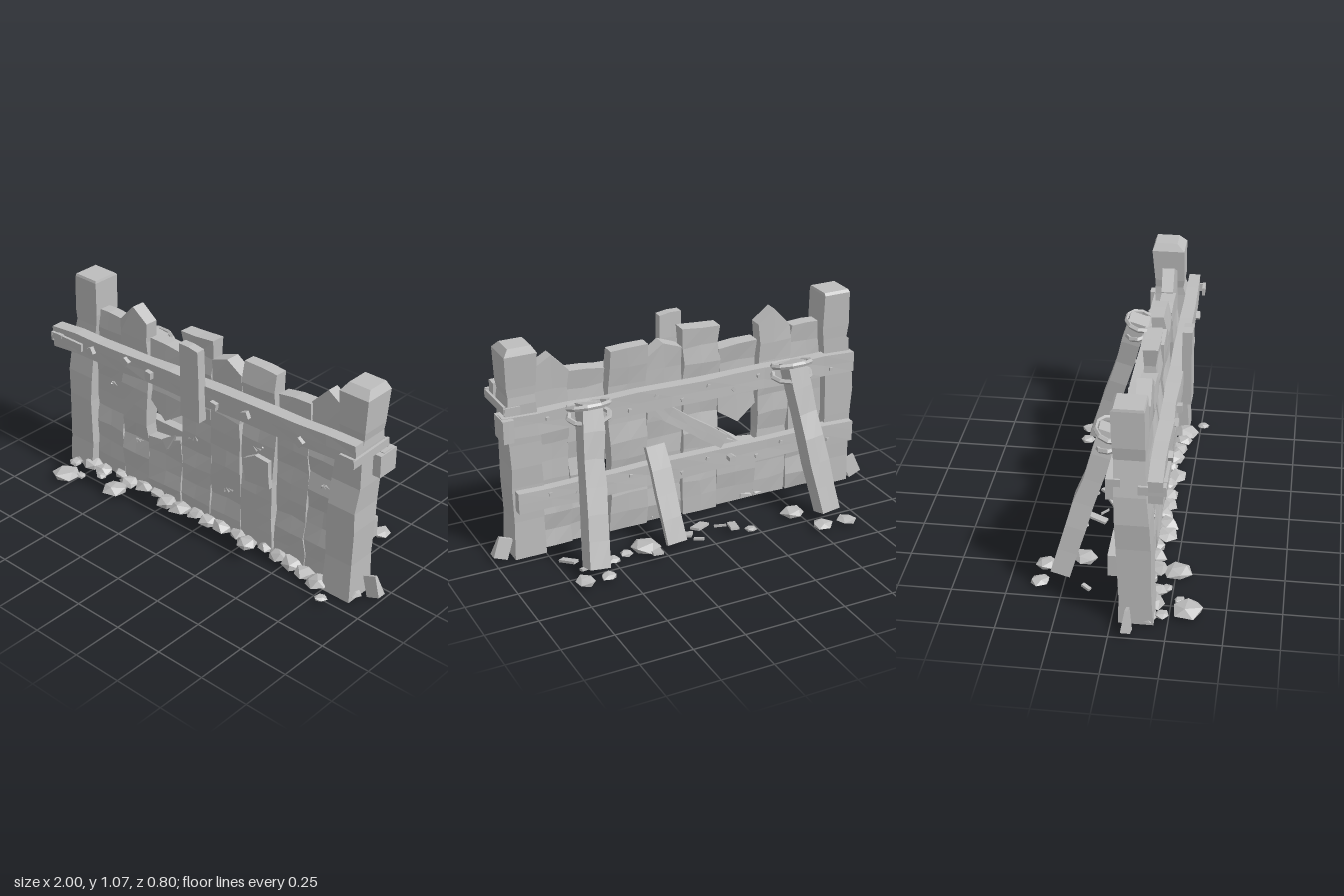
import * as THREE from 'three';

const stone = new THREE.MeshStandardMaterial({ color: 0xbdbdbd });
stone.name = 'weatheredGrey';
stone.flatShading = true;

// repeatable value in -1..1 from a position and a seed
function noise(x, y, z, seed) {
  const r = (v) => Math.round(v * 1000);
  const s = Math.sin(r(x) * 12.9898 + r(y) * 78.233 + r(z) * 37.719 + seed * 4.137) * 43758.5453;
  return (s - Math.floor(s)) * 2 - 1;
}

// moves every vertex by a rule, then gives each face its own normal
function reshape(geo, rule) {
  const p = geo.attributes.position;
  const v = new THREE.Vector3();
  for (let i = 0; i < p.count; i++) {
    v.fromBufferAttribute(p, i);
    rule(v);
    p.setXYZ(i, v.x, v.y, v.z);
  }
  const flat = geo.index ? geo.toNonIndexed() : geo;
  flat.computeVertexNormals();
  return flat;
}

// rough upright timber; top and bottom are height offsets at left, middle, right
function timber(w, h, d, rows, rough, seed, top = [0, 0, 0], bottom = [0, 0, 0]) {
  return reshape(new THREE.BoxGeometry(w, h, d, 2, rows, 1), (v) => {
    const { x, y, z } = v;
    const col = Math.round((x / w + 0.5) * 2);
    const t = y / h + 0.5;
    v.x += noise(Math.sign(col - 1), y, 0, seed) * rough * 0.7;
    v.z += noise(0, y, z, seed + 1) * rough * 0.75 + noise(x, y, z, seed + 1) * rough * 0.25;
    if (t > 0.99) v.y += top[col];
    else if (t < 0.01) v.y += bottom[col];
    else v.y += noise(x, y, 0, seed + 2) * rough * 0.5;
  });
}

// the wall leans back a little: middle depth at height y
const wallZ = (y) => 0.109 - 0.025 * y;

export function createModel() {
  const model = new THREE.Group();
  model.name = 'woodenBarricade';
  const V = (x, y, z) => new THREE.Vector3(x, y, z);

  function add(name, geo, x = 0, y = 0, z = 0, rx = 0, ry = 0, rz = 0) {
    const m = new THREE.Mesh(geo, stone);
    m.name = name;
    m.position.set(x, y, z);
    m.rotation.set(rx, ry, rz);
    model.add(m);
    return m;
  }
  const box = (w, h, d) => new THREE.BoxGeometry(w, h, d);

  // timber running from a to b, with its width kept close to the given side axis
  function strut(name, a, b, w, d, rows, rough, seed, side = V(1, 0, 0)) {
    const up = b.clone().sub(a);
    const m = add(name, timber(w, up.length(), d, rows, rough, seed));
    up.normalize();
    const front = side.clone().cross(up).normalize();
    const across = up.clone().cross(front);
    m.quaternion.setFromRotationMatrix(new THREE.Matrix4().makeBasis(across, up, front));
    m.position.copy(a).add(b).multiplyScalar(0.5);
  }

  // end posts: rows of [y, centre x, centre z, half width, half depth]
  const rightRows = [[0.01, -0.83, 0.112, 0.075, 0.078], [0.15, -0.825, 0.108, 0.078, 0.072], [0.4, -0.825, 0.1, 0.073, 0.076],
    [0.53, -0.825, 0.094, 0.08, 0.075], [0.66, -0.815, 0.085, 0.076, 0.07], [0.82, -0.785, 0.078, 0.066, 0.068],
    [0.88, -0.785, 0.076, 0.073, 0.07], [1.05, -0.782, 0.07, 0.069, 0.072], [1.062, -0.782, 0.074, 0.066, 0.064]];
  const leftRows = [[0.005, 0.825, 0.112, 0.078, 0.08], [0.2, 0.825, 0.106, 0.073, 0.073], [0.38, 0.827, 0.103, 0.078, 0.077],
    [0.48, 0.83, 0.1, 0.073, 0.082], [0.6, 0.832, 0.087, 0.078, 0.072], [0.8, 0.845, 0.08, 0.066, 0.078],
    [0.84, 0.845, 0.075, 0.064, 0.07], [0.88, 0.845, 0.077, 0.07, 0.074], [1.04, 0.845, 0.068, 0.077, 0.08], [1.075, 0.845, 0.056, 0.055, 0.055]];
  for (const [name, rows] of [['leftEndPost', leftRows], ['rightEndPost', rightRows]]) {
    add(name, reshape(new THREE.BoxGeometry(2, rows.length - 1, 2, 1, rows.length - 1, 1), (v) => {
      const [y, cx, cz, hw, hd] = rows[Math.round(v.y + (rows.length - 1) / 2)];
      v.set(cx + v.x * hw, y, cz + v.z * hd);
    }));
  }

  // wall planks: left x, right x, bottom, top, top offsets, bottom offsets
  const planks = [
    [-0.75, -0.565, 0.01, 0.905, [0, 0.005, 0]],
    [-0.562, -0.39, 0.01, 0.93, [-0.015, 0.075, 0.01]],
    [-0.37, -0.172, 0.51, 0.872, [0, 0, -0.01], [0.03, -0.05, 0.02]],
    [-0.385, -0.172, 0.01, 0.35, [-0.02, -0.005, 0.04]],
    [-0.17, 0.018, 0.01, 0.985, [-0.005, 0, 0.01]],
    [0.022, 0.205, 0.01, 0.905, [0, 0.035, -0.02]],
    [0.208, 0.398, 0.01, 0.957, [0, 0, -0.005]],
    [0.425, 0.6, 0.01, 0.885, [-0.01, 0.005, 0.01]],
    [0.602, 0.768, 0.01, 0.91, [-0.01, 0.08, 0.03]],
  ];
  planks.forEach(([x0, x1, y0, y1, top, bottom], i) => {
    const h = y1 - y0;
    const y = (y0 + y1) / 2;
    const rows = Math.max(3, Math.round(h * 11));
    add('wallPlank', timber(x1 - x0, h, 0.064, rows, 0.011, i * 7 + 3, top, bottom),
      (x0 + x1) / 2, y, wallZ(y) + (i % 2) * 0.006, -0.025);
  });
  // splinter in the gap and a nailed patch
  add('splinter', new THREE.ConeGeometry(0.04, 0.11, 4), -0.24, 0.37, 0.125, 0.5, 0.3, -0.7);
  add('patchBoard', timber(0.15, 0.14, 0.025, 2, 0.004, 91, [-0.02, 0.015, 0]), 0.315, 0.435, 0.142, 0, 0, 0.1);

  // horizontal rails
  const alongY = V(0, 1, 0);
  strut('frontRail', V(-0.94, 0.728, 0.195), V(0.92, 0.803, 0.19), 0.108, 0.062, 12, 0.006, 11, alongY);
  strut('upperBackRail', V(-0.88, 0.69, 0.012), V(0.945, 0.7, 0.014), 0.105, 0.06, 11, 0.006, 12, alongY);
  strut('lowerBackRail', V(-0.895, 0.31, 0.015), V(0.89, 0.315, 0.01), 0.105, 0.05, 11, 0.006, 13, alongY);
  add('railEndBlock', timber(0.05, 0.11, 0.11, 1, 0.003, 14), 0.925, 0.695, 0.02);

  // upright cover board on the front
  add('coverBoard', timber(0.115, 0.375, 0.045, 3, 0.003, 15, [0, 0, -0.01]), 0.007, 0.83, 0.241, 0, 0, 0.02);

  // straps wrapping the rail ends
  add('strapSide', box(0.012, 0.04, 0.25), 0.928, 0.782, 0.122, 0.03);
  add('strapFront', box(0.075, 0.04, 0.014), 0.893, 0.785, 0.241);
  add('strapBack', box(0.075, 0.04, 0.012), 0.893, 0.778, 0);
  add('strapFront', box(0.21, 0.04, 0.014), -0.835, 0.735, 0.236);
  add('strapSide', box(0.012, 0.04, 0.12), -0.934, 0.73, 0.185);

  // square bolts
  const bolts = [[-0.885, 0.74], [-0.67, 0.74], [-0.43, 0.768], [-0.28, 0.755], [0.32, 0.776], [0.63, 0.765], [0.13, 0.75]];
  bolts.forEach(([x, y], i) => add('frontBolt', box(0.036, 0.036, 0.03), x, y, 0.23, 0, 0, i * 0.5));
  for (let i = 0; i < 12; i++) {
    const x = -0.75 + i * 0.135;
    add('backBolt', box(0.016, 0.016, 0.012), x, 0.695 + (i % 2 ? 0.022 : -0.022), -0.02, 0, 0, i);
    add('backBolt', box(0.016, 0.016, 0.012), x, 0.312 + (i % 3 - 1) * 0.022, -0.015, 0, 0, i);
  }
  add('looseBolt', new THREE.CylinderGeometry(0.02, 0.02, 0.035, 6), -0.2, 0.315, -0.027, Math.PI / 2);

  // long braces, each bound to the rail with rope
  for (const [name, xt, xb] of [['rightBrace', -0.51, -0.6], ['leftBrace', 0.545, 0.625]]) {
    strut(name, V(xb, 0.05, -0.266), V(xt, 0.768, -0.05), 0.1, 0.095, 6, 0.008, xt * 40);
    for (const [y, tilt] of [[0.758, 0.25], [0.705, -0.2]]) {
      const ring = add('bindingRope', new THREE.TorusGeometry(0.095, 0.013, 5, 10), xt, y, -0.045, Math.PI / 2 + tilt);
      ring.scale.set(1.05, 0.75, 1);
    }
  }
  // short brace, and a diagonal slat between the rails
  strut('shortBrace', V(0.185, 0.035, -0.205), V(0.215, 0.48, -0.035), 0.1, 0.028, 4, 0.005, 31);
  strut('diagonalSlat', V(-0.17, 0.4, 0.006), V(0.22, 0.67, 0.004), 0.075, 0.03, 4, 0.004, 32, V(0.6, -0.8, 0));

  // slanted wedges at the outer feet
  for (const s of [-1, 1]) {
    add('footWedge', reshape(box(0.072, 0.1, 0.045), (v) => { if (v.y > 0) v.z *= 0.3; }),
      s * 0.95, 0.063, 0.077, 0, 0, s * 0.38);
  }

  // flattened rocks
  function rock(x, z, r, h, seed) {
    add('rock', reshape(new THREE.IcosahedronGeometry(r, 0), (v) => {
      v.multiplyScalar(1 + noise(v.x, v.y, v.z, seed) * 0.18);
      v.y = Math.max(v.y * h, -0.008);
    }), x, 0.025, z, 0, seed);
  }
  for (let i = 0; i < 20; i++) {
    const x = -0.85 + i * 0.087;
    rock(x, 0.155 + noise(i, 2, 3, 5) * 0.03, 0.056 + noise(i, 1, 1, 9) * 0.01, 0.6, i);
  }
  const scattered = [[-0.66, -0.355, 0.046], [-0.53, -0.35, 0.05], [-0.465, -0.18, 0.06], [0.7, -0.32, 0.048], [0.59, -0.325, 0.038],
    [0.33, -0.155, 0.078], [0.43, -0.17, 0.033], [0.51, -0.2, 0.038], [-0.2, -0.23, 0.03], [-0.79, 0.325, 0.075],
    [-0.73, 0.29, 0.028], [-0.52, 0.26, 0.065], [0.8, 0.265, 0.033], [-0.84, 0.22, 0.035], [-0.65, 0.22, 0.03], [0.885, 0.14, 0.048]];
  scattered.forEach(([x, z, r], i) => rock(x, z, r, 0.45, i + 60));

  // wood chips on the ground: x, z, length, width, turn
  const chips = [[0.01, -0.1, 0.1, 0.05, 0.6], [-0.135, -0.17, 0.1, 0.04, 1.3], [0.12, -0.14, 0.09, 0.05, 2.5], [0.7, -0.12, 0.09, 0.035, 2.1],
    [-0.69, -0.14, 0.045, 0.02, 1], [-0.08, -0.14, 0.06, 0.006, 2.6], [0.66, -0.22, 0.05, 0.02, 0.3], [0.07, -0.21, 0.05, 0.014, 2.4],
    [0.3, -0.22, 0.1, 0.05, 1.4]];
  for (const [x, z, l, w, turn] of chips) add('woodChip', box(l, 0.012, w), x, 0.028, z, 0.12, turn, 0.08);

  // small raised splits on the plank faces
  for (const [x, y] of [[-0.63, 0.53], [-0.45, 0.28], [-0.09, 0.44], [0.13, 0.25], [0.31, 0.55], [0.7, 0.51]]) {
    for (let k = -1; k <= 1; k++) {
      add('woodSplit', new THREE.ConeGeometry(0.005, 0.03, 4), x + k * 0.018, y + k * 0.008, wallZ(y) + 0.039, 0.2, 0, k * 0.8 + x * 5);
    }
  }
  return model;
}
